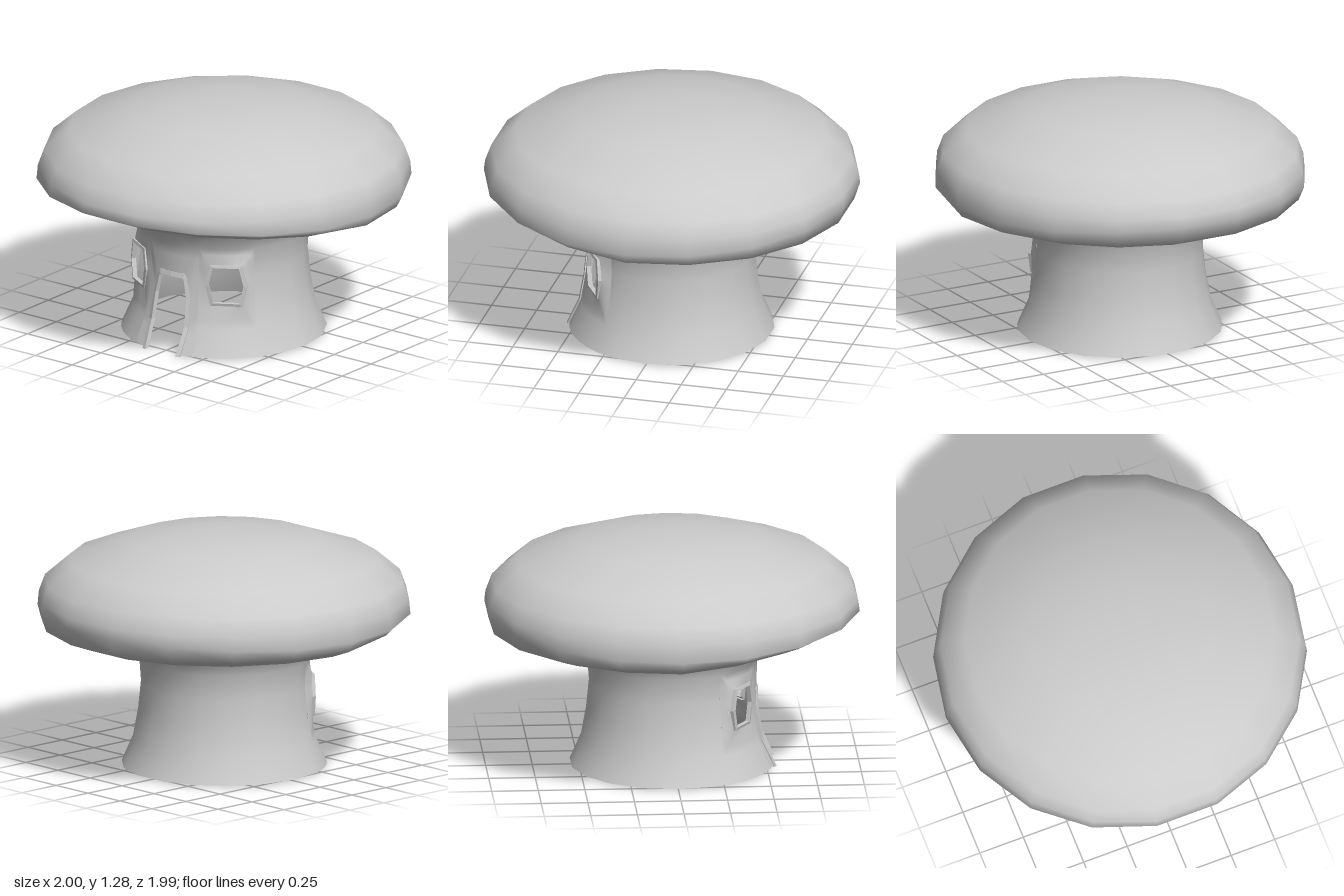
import * as THREE from 'three';
import { mergeGeometries, mergeVertices } from 'three/addons/utils/BufferGeometryUtils.js';

const DEG = Math.PI / 180;
const ARC = 0.46; // typical stem radius, turns arc length into angle

// Stem radius at a height, straight between profile points [y, r]
const PROFILE = [[0, 0.555], [0.15, 0.49], [0.3, 0.463], [0.45, 0.448], [0.59, 0.458], [0.67, 0.5], [0.74, 0.548]];
function stemRadius(y) {
  let i = 0;
  while (i < PROFILE.length - 2 && y > PROFILE[i + 1][0]) i++;
  const [y0, r0] = PROFILE[i], [y1, r1] = PROFILE[i + 1];
  return r0 + (r1 - r0) * (y - y0) / (y1 - y0);
}
const polar = (angle, r, y) => new THREE.Vector3(Math.sin(angle) * r, y, Math.cos(angle) * r);
const onStem = (angle, y, out = 0) => polar(angle, stemRadius(y) + out, y);

// Cap underside rises toward the front; cap is slightly longer in z
const lift = z => 0.085 * Math.max(0, z);
const CAP_Z = 1.012;

// Surface through rows of points
function sheet(rows) {
  const n = rows[0].length, index = [];
  for (let i = 0; i < rows.length - 1; i++)
    for (let j = 0; j < n - 1; j++) {
      const a = i * n + j, c = a + n;
      index.push(a, a + 1, c + 1, a, c + 1, c);
    }
  const g = new THREE.BufferGeometry().setFromPoints(rows.flat());
  g.setIndex(index);
  return g;
}
function smooth(g) {
  g.deleteAttribute('uv');
  g.deleteAttribute('normal');
  g = mergeVertices(g, 1e-4);
  g.computeVertexNormals();
  return g;
}
function range(a, b, n) {
  return Array.from({ length: n + 1 }, (_, i) => a + (b - a) * i / n);
}
const wallGrid = (degs, ys) => sheet(ys.map(y => degs.map(d => onStem(d * DEG, y))));

// Subdivide an outline of [s, y] points
function dense(pts, n = 4) {
  const out = [pts[0]];
  for (let i = 1; i < pts.length; i++)
    for (let k = 1; k <= n; k++)
      out.push(pts[i].map((v, c) => pts[i - 1][c] + (v - pts[i - 1][c]) * k / n));
  return out;
}

// Outline point placed on the round wall, or on a flat window plane
const onWall = centre => ([s, y], out = 0) => onStem(centre + s / ARC, y, out);
const onPlane = sign => ([s, y], out = 0) => {
  const turn = sign * 31 * DEG, c = Math.cos(turn), n = Math.sin(turn);
  return new THREE.Vector3(sign * 0.295 + s * c + out * n, y, 0.357 - s * n + out * c);
};

// Wall panel from its outer border in to the opening
function panel(border, borderMap, hole, holeMap) {
  const b = dense(border).map(p => borderMap(p)), h = dense(hole).map(p => holeMap(p));
  return sheet(range(0, 1, 3).map(t => b.map((p, i) => p.clone().lerp(h[i], t))));
}
// Slim raised trim around an opening
function trim(outer, inner, map) {
  const row = (pts, out) => dense(pts, 2).map(p => map(p, out));
  const g = sheet([row(outer, -0.012), row(outer, 0.006), row(inner, 0.01), row(inner, -0.015)]);
  g.computeVertexNormals();
  return g;
}

// Six-sided window outline, counterclockwise
const WIN_Y = 0.39;
function hexagon(w, top, h) {
  return [[w, 0], [top, h], [-top, h], [-w, 0], [-top, -h], [top, -h], [w, 0]].map(([s, y]) => [s, y + WIN_Y]);
}
// Arched outline mirrored from its right half
const arch = half => [...half, ...half.map(([s, y]) => [-s, y]).reverse()];

export function createModel() {
  const group = new THREE.Group();
  const shell = new THREE.MeshStandardMaterial({ color: 0xcccccc, side: THREE.DoubleSide });
  const flat = new THREE.MeshStandardMaterial({ color: 0xcccccc, flatShading: true, side: THREE.DoubleSide });
  const add = (g, m, name) => {
    const mesh = new THREE.Mesh(g, m);
    mesh.name = name;
    group.add(mesh);
  };

  // Cap: hollow, 18-sided, brim lifted above the door
  const ringR = 0.72, ringY = 0.765;
  const capProfile = [[ringR, ringY], [0.85, 0.735], [0.97, 0.78], [1, 0.835], [0.993, 0.93], [0.96, 1.02],
    [0.83, 1.132], [0.5, 1.245], [0.23, 1.277], [0, 1.285]].map(p => new THREE.Vector2(...p));
  const cap = new THREE.LatheGeometry(capProfile, 18, 10 * DEG);
  cap.scale(1, 1, CAP_Z);
  const pos = cap.attributes.position;
  for (let i = 0; i < pos.count; i++) {
    const y = pos.getY(i), z = pos.getZ(i);
    if (y < 0.8) pos.setY(i, y + lift(z));
    else if (y < 0.9) pos.setY(i, y + 0.04 * z * z);
  }
  add(smooth(cap), shell, 'cap');

  // Stem wall with door and window openings
  const side = 21, edge = 59, winCentre = 40 * DEG;
  const doorW = side * DEG * ARC, winW = (edge - side) / 2 * DEG * ARC;
  const doorHole = arch([[0.086, 0.008], [0.105, 0.15], [0.105, 0.3], [0.08, 0.412]]);
  const doorBorder = arch([[doorW, 0.008], [doorW, 0.15], [doorW, 0.4], [doorW, 0.59]]);
  const winHole = hexagon(0.1, 0.074, 0.104);
  const winBorder = [[winW, WIN_Y], [winW, 0.59], [-winW, 0.59], [-winW, WIN_Y], [-winW, 0.15], [winW, 0.15], [winW, WIN_Y]];
  const backDegs = [edge, ...range(70, 290, 11), 360 - edge];
  const frontDegs = [...range(-edge, -side, 4), ...range(-side, side, 4).slice(1), ...range(side, edge, 4).slice(1)];
  const allDegs = [...backDegs, ...frontDegs.slice(1).map(d => d + 360)];

  // Flare from the stem top out to the inner ring of the cap
  const flare = sheet([
    allDegs.map(d => onStem(d * DEG, 0.74)),
    allDegs.map(d => {
      const p = polar(d * DEG, 0.61, 0.79);
      p.y += lift(p.z);
      return p;
    }),
    allDegs.map(d => {
      const off = d - 20 * Math.round(d / 20);
      const p = polar(d * DEG, ringR * Math.cos(10 * DEG) / Math.cos(off * DEG), ringY);
      p.z *= CAP_Z;
      p.y += lift(p.z);
      return p;
    }),
  ]);
  const parts = [
    flare,
    wallGrid(backDegs, [0.008, 0.15, 0.3, 0.45, 0.59, 0.67, 0.74]),
    wallGrid(frontDegs, [0.59, 0.67, 0.74]),
    panel(doorBorder, onWall(0), doorHole, onWall(0)),
  ];
  for (const s of [1, -1]) {
    parts.push(wallGrid(s > 0 ? range(side, edge, 4) : range(-edge, -side, 4), [0.008, 0.15]));
    parts.push(panel(winBorder, onWall(s * winCentre), winHole, onPlane(s)));
  }
  add(smooth(mergeGeometries(parts)), shell, 'stem');

  // Door and window trims
  const doorOuter = arch([[0.104, 0], [0.125, 0.15], [0.122, 0.3], [0.096, 0.41], [0.083, 0.435]]);
  const doorInner = arch([[0.084, 0], [0.103, 0.15], [0.102, 0.3], [0.082, 0.402], [0.077, 0.41]]);
  add(trim(doorOuter, doorInner, onWall(0)), flat, 'doorFrame');
  for (const [s, name] of [[1, 'leftWindowFrame'], [-1, 'rightWindowFrame']])
    add(trim(hexagon(0.113, 0.086, 0.115), hexagon(0.094, 0.07, 0.1), onPlane(s)), flat, name);

  return group;
}
